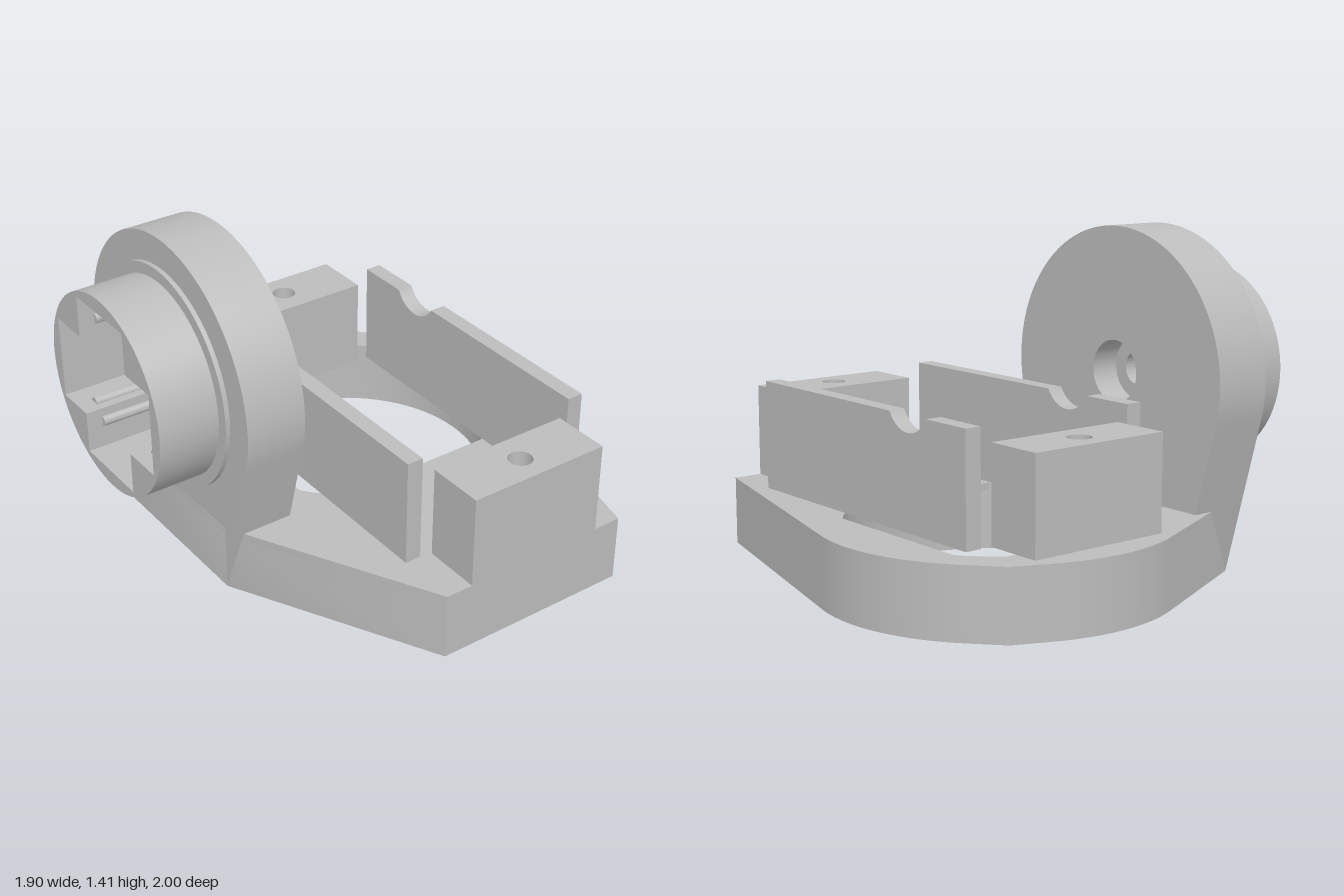
import * as THREE from 'three';
import { toCreasedNormals } from 'three/addons/utils/BufferGeometryUtils.js';

const CX = 0.215, CZ = -0.265;   // centre of the bore in the base
const HUB_Y = 0.81;              // height of the horizontal axis
const DEG = Math.PI / 180;

export function createModel() {
  const model = new THREE.Group();
  model.name = 'motorMount';
  const grey = new THREE.MeshStandardMaterial({ color: 0xbcbcbc });
  grey.name = 'plainGrey';

  const extrude = (shape, depth) =>
    new THREE.ExtrudeGeometry(shape, { depth, bevelEnabled: false, curveSegments: 40 });
  const add = (name, geometry, parent) => {
    const mesh = new THREE.Mesh(toCreasedNormals(geometry, 0.5), grey);
    mesh.name = name;
    parent.add(mesh);
    return mesh;
  };
  // Plan shape (x, -z) raised from y0 to y1
  const raise = (name, shape, y0, y1, parent = model) =>
    add(name, extrude(shape, y1 - y0).rotateX(-Math.PI / 2).translate(0, y0, 0), parent);
  // Side shape (-z, y) pushed from x0 to x1
  const across = (name, shape, x0, x1, parent = model) =>
    add(name, extrude(shape, x1 - x0).rotateY(Math.PI / 2).translate(x0, 0, 0), parent);
  const circle = (type, x, y, r) => new type().absarc(x, y, r, 0, Math.PI * 2, false);

  // Base outline: rounded back, corner lug, tapering to the front
  const baseShape = (hole) => {
    const s = new THREE.Shape();
    s.moveTo(-0.22, -1);
    s.lineTo(0.655, -1);
    s.absarc(CX, -CZ, 0.735, -14.3 * DEG, 43.3 * DEG, false);
    s.lineTo(0.655, 0.875);
    s.absarc(CX, -CZ, 0.735, 64.7 * DEG, 114.5 * DEG, false);
    s.lineTo(-0.67, 0.67);
    s.lineTo(-0.67, -0.14);
    s.closePath();
    s.holes.push(hole);
    return s;
  };
  // Square opening with its corners cut by the bore
  const opening = new THREE.Path();
  const a = Math.acos(0.495 / 0.61);
  for (let k = 0; k < 4; k++) {
    opening.absarc(CX, -CZ, 0.61, k * Math.PI / 2 + a, (k + 1) * Math.PI / 2 - a, false);
  }
  opening.closePath();
  const base = new THREE.Group();
  base.name = 'base';
  model.add(base);
  raise('baseBody', baseShape(circle(THREE.Path, CX, -CZ, 0.61)), 0, 0.26, base);
  raise('baseTopPlate', baseShape(opening), 0.26, 0.29, base);

  // Screw blocks at front and back, each with a blind hole
  for (const [name, z] of [['frontScrewBlock', 0.875], ['backScrewBlock', -0.745]]) {
    const block = new THREE.Group();
    block.name = name;
    model.add(block);
    const rect = () => new THREE.Shape([
      [-0.1, -0.125], [0.53, -0.125], [0.53, 0.125], [-0.1, 0.125],
    ].map(([x, y]) => new THREE.Vector2(x, y - z)));
    const drilled = rect();
    drilled.holes.push(circle(THREE.Path, CX, -z - 0.005 * Math.sign(z) * -1 - (z > 0 ? 0.01 : -0.01), 0.05));
    raise('blockBottom', rect(), 0.29, 0.42, block);
    raise('blockTop', drilled, 0.42, 0.685, block);
  }

  // Pair of upright walls with a round shaft notch
  const wall = new THREE.Shape();
  wall.moveTo(-0.74, 0.29);
  wall.lineTo(0.62, 0.29);
  wall.lineTo(0.62, 0.75);
  wall.absarc(-CZ, HUB_Y, 0.13, -0.48, -Math.PI + 0.48, true);
  wall.lineTo(-0.74, 0.75);
  wall.closePath();
  across('rightWall', wall, -0.22, -0.15);
  across('leftWall', wall, 0.58, 0.65);

  // Hub group, centred on the horizontal axis
  const hub = new THREE.Group();
  hub.name = 'hub';
  hub.position.set(0, HUB_Y, CZ);
  model.add(hub);

  // Cross-shaped pocket
  const w = 0.18, l = 0.36;
  const pocket = () => new THREE.Path([
    [w, l], [-w, l], [-w, w], [-l, w], [-l, -w], [-w, -w],
    [-w, -l], [w, -l], [w, -w], [l, -w], [l, w], [w, w], [w, l],
  ].map(([x, y]) => new THREE.Vector2(x, y)));
  const disc = (r, hole) => {
    const s = circle(THREE.Shape, 0, 0, r);
    s.holes.push(hole);
    return s;
  };
  // Round flange narrowing to a foot on the base
  const flange = (hole) => {
    const s = new THREE.Shape();
    s.absarc(0, 0, 0.6, -0.26, Math.PI + 0.26, false);
    s.lineTo(-0.405, -HUB_Y);
    s.lineTo(0.405, -HUB_Y);
    s.closePath();
    s.holes.push(hole);
    return s;
  };
  across('boss', disc(0.425, pocket()), -0.95, -0.69, hub);
  across('collar', disc(0.475, pocket()), -0.69, -0.67, hub);
  across('flangeOuter', flange(pocket()), -0.67, -0.6, hub);
  across('flangeWeb', flange(circle(THREE.Path, 0, 0, 0.07)), -0.6, -0.54, hub);
  across('flangeInner', flange(circle(THREE.Path, 0, 0, 0.13)), -0.54, -0.41, hub);

  // Small grip ribs along the pocket corners
  for (const sy of [-1, 1]) {
    for (const sz of [-1, 1]) {
      for (const [y, z] of [[w, 0.24], [0.24, w]]) {
        const rib = new THREE.CylinderGeometry(0.022, 0.022, 0.28, 16).rotateZ(Math.PI / 2);
        add('pocketRib', rib.translate(-0.74, sy * y, sz * z), hub);
      }
    }
  }
  return model;
}
